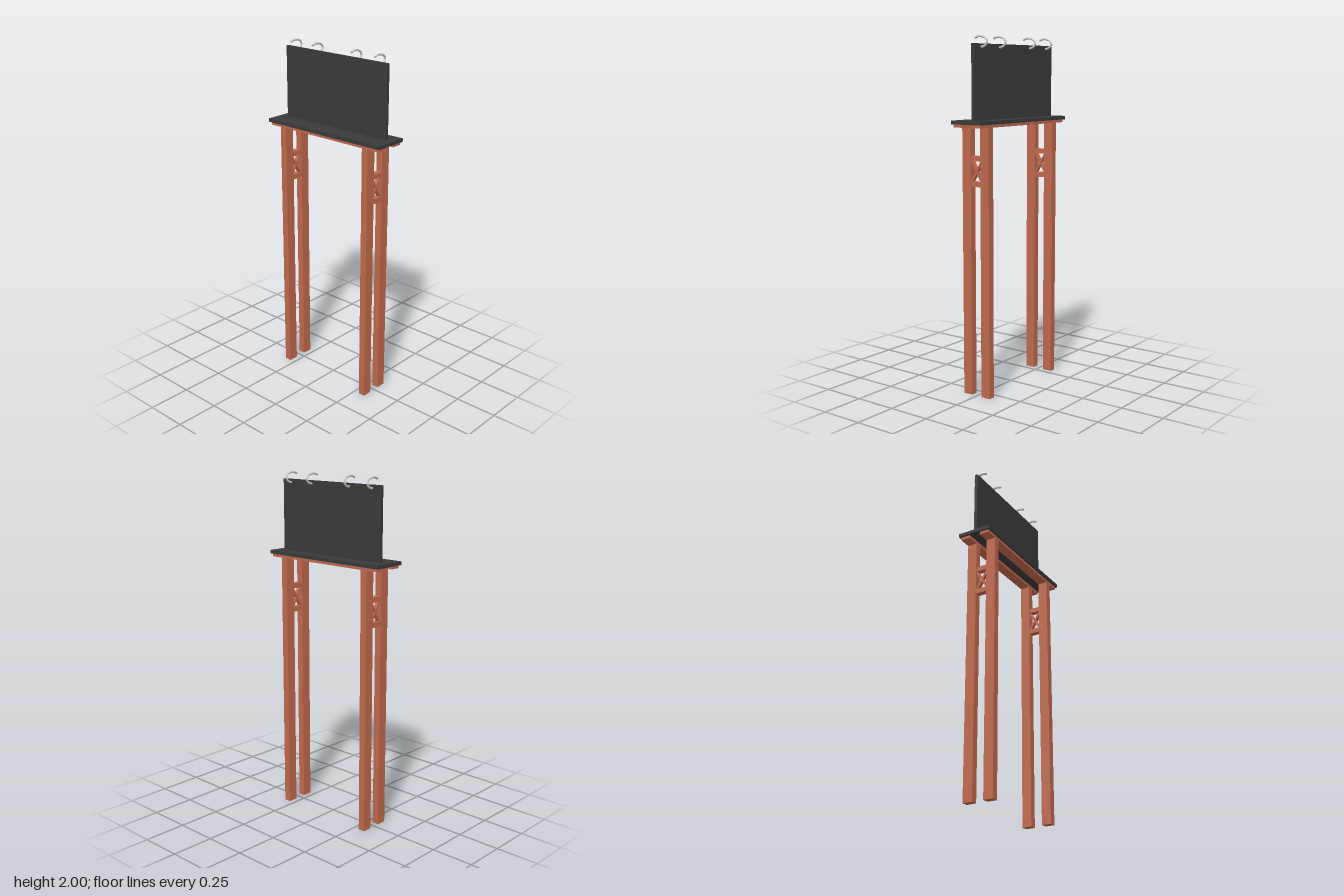
import * as THREE from 'three';

export function createModel() {
  const model = new THREE.Group();
  const rust = new THREE.MeshStandardMaterial({ color: 0xc0694c });
  const dark = new THREE.MeshStandardMaterial({ color: 0x3a3a3a });
  const grey = new THREE.MeshStandardMaterial({ color: 0xcccccc, flatShading: true });

  function box(name, material, size, position, tilt = 0) {
    const mesh = new THREE.Mesh(new THREE.BoxGeometry(...size), material);
    mesh.name = name;
    mesh.position.set(...position);
    mesh.rotation.x = tilt;
    model.add(mesh);
  }

  // Deck and the upright panel on it
  box('deck', dark, [0.814, 0.02, 0.2], [0, 1.537, 0]);
  box('panel', dark, [0.728, 0.408, 0.018], [0, 1.751, -0.018]);

  // Beams under the deck, one above each row of posts
  for (const z of [-0.062, 0.062]) {
    box('beam', rust, [0.79, 0.017, 0.057], [0, 1.5185, z]);
    for (const x of [-0.303, 0.303]) {
      box('post', rust, [0.04, 1.51, 0.057], [x, 0.755, z]);
    }
  }

  // Bracing between the posts: two rails and a cross
  const crossHeight = 0.111, crossDepth = 0.067;
  const crossLength = Math.hypot(crossHeight, crossDepth);
  const crossTilt = Math.atan2(crossDepth, crossHeight);
  for (const x of [-0.303, 0.303]) {
    for (const y of [1.2, 1.34]) box('rail', rust, [0.034, 0.028, 0.068], [x, y, 0]);
    for (const side of [-1, 1]) {
      box('crossBrace', rust, [0.022, crossLength, 0.012], [x, 1.27, 0], side * crossTilt);
    }
  }

  // Hooks curling from the back of the panel over its top edge
  const hookPath = new THREE.CatmullRomCurve3([
    [1.937, -0.022], [1.938, -0.035], [1.947, -0.056], [1.964, -0.067],
    [1.982, -0.058], [1.992, -0.035], [1.994, -0.008], [1.986, 0.015],
  ].map(([y, z]) => new THREE.Vector3(0, y, z)));
  const section = new THREE.Shape();
  for (let i = 0; i < 8; i++) {
    const a = (i + 0.5) * Math.PI / 4;
    const p = [0.0062 * Math.cos(a), 0.0062 * Math.sin(a)];
    if (i) section.lineTo(...p); else section.moveTo(...p);
  }
  const hookGeometry = new THREE.ExtrudeGeometry(section, { steps: 14, extrudePath: hookPath });
  for (const x of [-0.303, -0.141, 0.139, 0.301]) {
    const hook = new THREE.Mesh(hookGeometry, grey);
    hook.name = 'hook';
    hook.position.x = x;
    model.add(hook);
  }
  return model;
}
